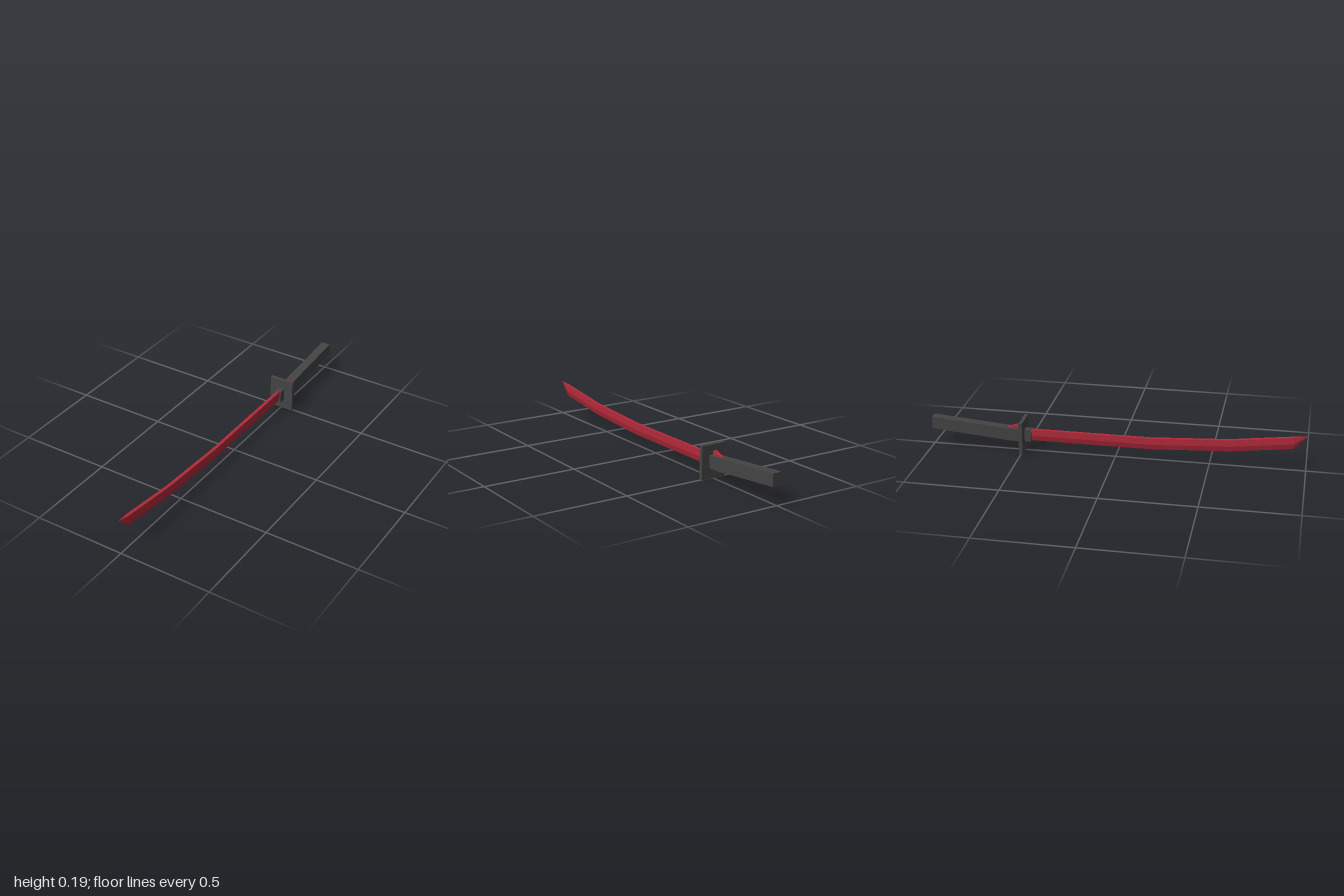
import * as THREE from 'three';

// Skin a list of closed cross-sections; each is counterclockwise seen from +z, in rising z order.
function loft(sections) {
  const pos = [];
  const tri = (...pts) => pts.forEach((p) => pos.push(...p));
  const n = sections[0].length;
  for (let i = 0; i < sections.length - 1; i++) {
    for (let j = 0; j < n; j++) {
      const k = (j + 1) % n;
      const [a, b] = [sections[i][j], sections[i][k]];
      const [d, c] = [sections[i + 1][j], sections[i + 1][k]];
      tri(a, b, c);
      tri(a, c, d);
    }
  }
  const first = sections[0];
  const last = sections[sections.length - 1];
  for (let j = 1; j < n - 1; j++) {
    tri(first[0], first[j + 1], first[j]);
    tri(last[0], last[j], last[j + 1]);
  }
  const geometry = new THREE.BufferGeometry();
  geometry.setAttribute('position', new THREE.Float32BufferAttribute(pos, 3));
  geometry.computeVertexNormals();
  return geometry;
}

// Rectangular section
const rect = (z, bottom, top, w) => [[w, top, z], [-w, top, z], [-w, bottom, z], [w, bottom, z]];

// Blade section: flat spine, straight sides, bevel down to the cutting edge
function bladeSection([z, bottom, top, w]) {
  const ridge = bottom + (top - bottom) * 0.45;
  return [[w, top, z], [-w, top, z], [-w, ridge, z], [0, bottom, z], [w, ridge, z]];
}

export function createModel() {
  const model = new THREE.Group();
  const red = new THREE.MeshStandardMaterial({ color: 0xb32a3a, flatShading: true });
  red.name = 'red steel';
  const grey = new THREE.MeshStandardMaterial({ color: 0x444444, flatShading: true });
  grey.name = 'dark grey';

  function add(name, geometry, material) {
    const mesh = new THREE.Mesh(geometry, material);
    mesh.name = name;
    model.add(mesh);
  }

  // Curved blade closing to a slanted point
  add('blade', loft([
    [-0.48, 0.057, 0.122, 0.009],
    [0.19, 0.057, 0.122, 0.009],
    [0.6, 0.079, 0.145, 0.009],
    [0.93, 0.12, 0.186, 0.009],
    [1, 0.1945, 0.195, 0.0004],
  ].map(bladeSection)), red);

  // Collar and square guard
  add('collar', loft([rect(-0.5, 0.055, 0.123, 0.017), rect(-0.455, 0.055, 0.123, 0.017)]), grey);
  add('guard', loft([rect(-0.51, 0, 0.176, 0.069), rect(-0.49, 0, 0.176, 0.069)]), grey);

  // Grip, bent upward behind the guard
  add('grip', loft([
    rect(-1, 0.095, 0.161, 0.025),
    rect(-0.57, 0.057, 0.126, 0.025),
    rect(-0.5, 0.057, 0.122, 0.025),
  ]), grey);

  // End of the blade's tang, showing above the grip
  add('tang', loft([
    rect(-0.585, 0.11, 0.127, 0.008),
    rect(-0.525, 0.11, 0.148, 0.008),
    rect(-0.515, 0.11, 0.142, 0.008),
  ]), red);

  return model;
}
